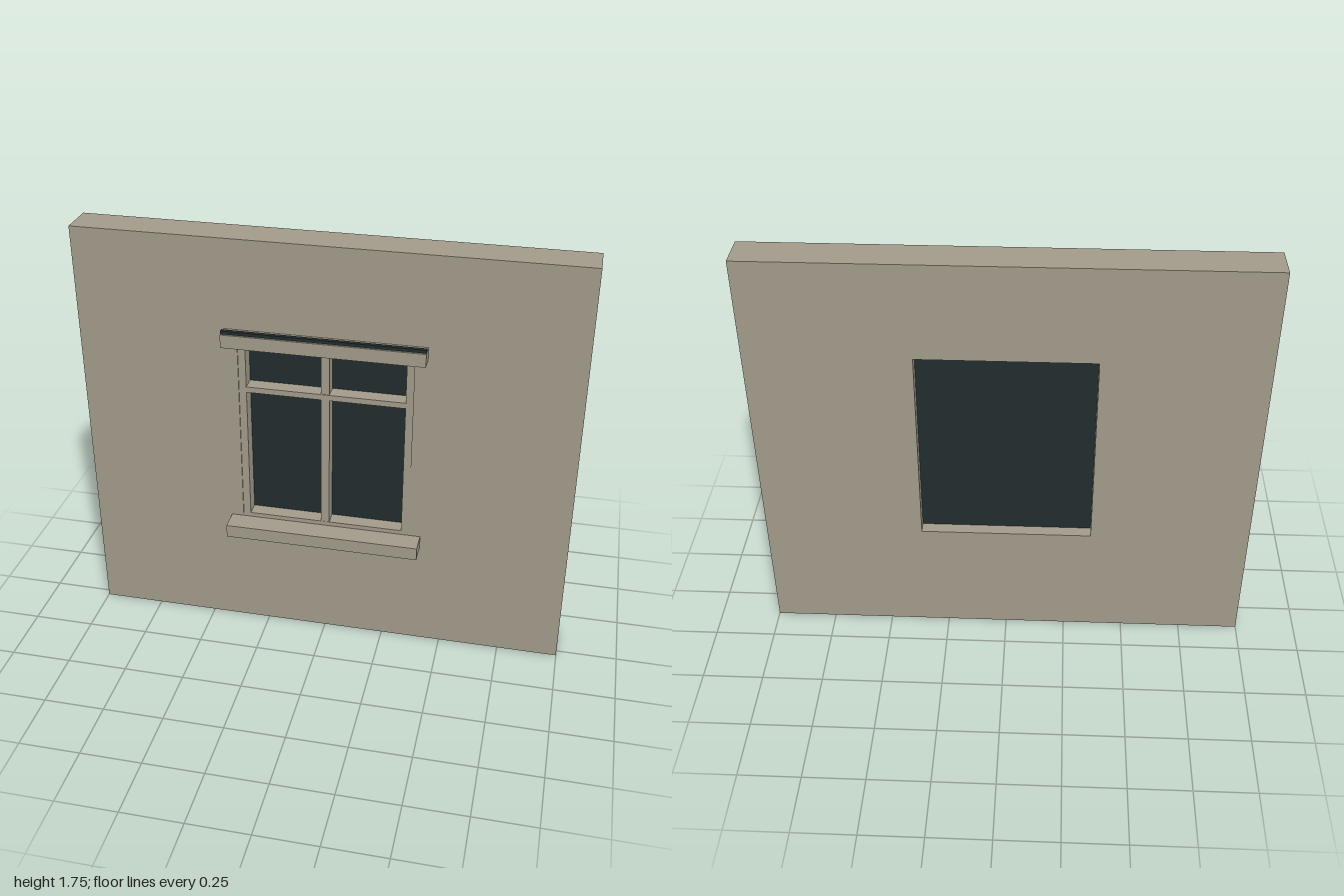
import * as THREE from 'three';

export function createModel() {
  const model = new THREE.Group();
  const stone = new THREE.MeshStandardMaterial({ color: 0xa39b8c });
  stone.name = 'warm grey stone';
  const glass = new THREE.MeshStandardMaterial({ color: 0x222d2e });
  glass.name = 'dark glass';

  // Box given by its minimum and maximum corners
  function box(name, material, [x0, y0, z0], [x1, y1, z1]) {
    const mesh = new THREE.Mesh(new THREE.BoxGeometry(x1 - x0, y1 - y0, z1 - z0), material);
    mesh.position.set((x0 + x1) / 2, (y0 + y1) / 2, (z0 + z1) / 2);
    mesh.name = name;
    model.add(mesh);
  }

  // Rectangular panel with a rectangular hole, extruded from z0 to z1
  function ring(name, outer, inner, z0, z1) {
    const corners = ([x, y0, y1]) => [[-x, y0], [x, y0], [x, y1], [-x, y1]]
      .map(([px, py]) => new THREE.Vector2(px, py));
    const shape = new THREE.Shape(corners(outer));
    shape.holes.push(new THREE.Path(corners(inner).reverse()));
    const mesh = new THREE.Mesh(
      new THREE.ExtrudeGeometry(shape, { depth: z1 - z0, bevelEnabled: false }), stone);
    mesh.position.z = z0;
    mesh.name = name;
    model.add(mesh);
  }

  // Wall with its window opening, and the frame set into it
  const opening = [0.35, 0.5, 1.35];
  ring('wall', [1, 0, 1.75], opening, -0.12, 0.03);
  ring('windowFrame', opening, [0.32, 0.535, 1.32], -0.036, 0.025);

  // Glass behind the frame
  box('windowPane', glass, [-0.35, 0.5, -0.07], [0.35, 1.35, -0.035]);

  // Glazing bars
  box('mullion', stone, [-0.017, 0.53, -0.036], [0.017, 1.325, 0.024]);
  box('transom', stone, [-0.322, 1.108, -0.036], [0.322, 1.132, 0.027]);

  // Projecting sill, lintel and the dark strip on top of the lintel
  box('sill', stone, [-0.4, 0.465, 0.03], [0.4, 0.52, 0.12]);
  box('lintel', stone, [-0.4, 1.325, 0.03], [0.4, 1.38, 0.09]);
  box('lintelStrip', glass, [-0.4, 1.38, 0.065], [0.4, 1.393, 0.082]);

  return model;
}
